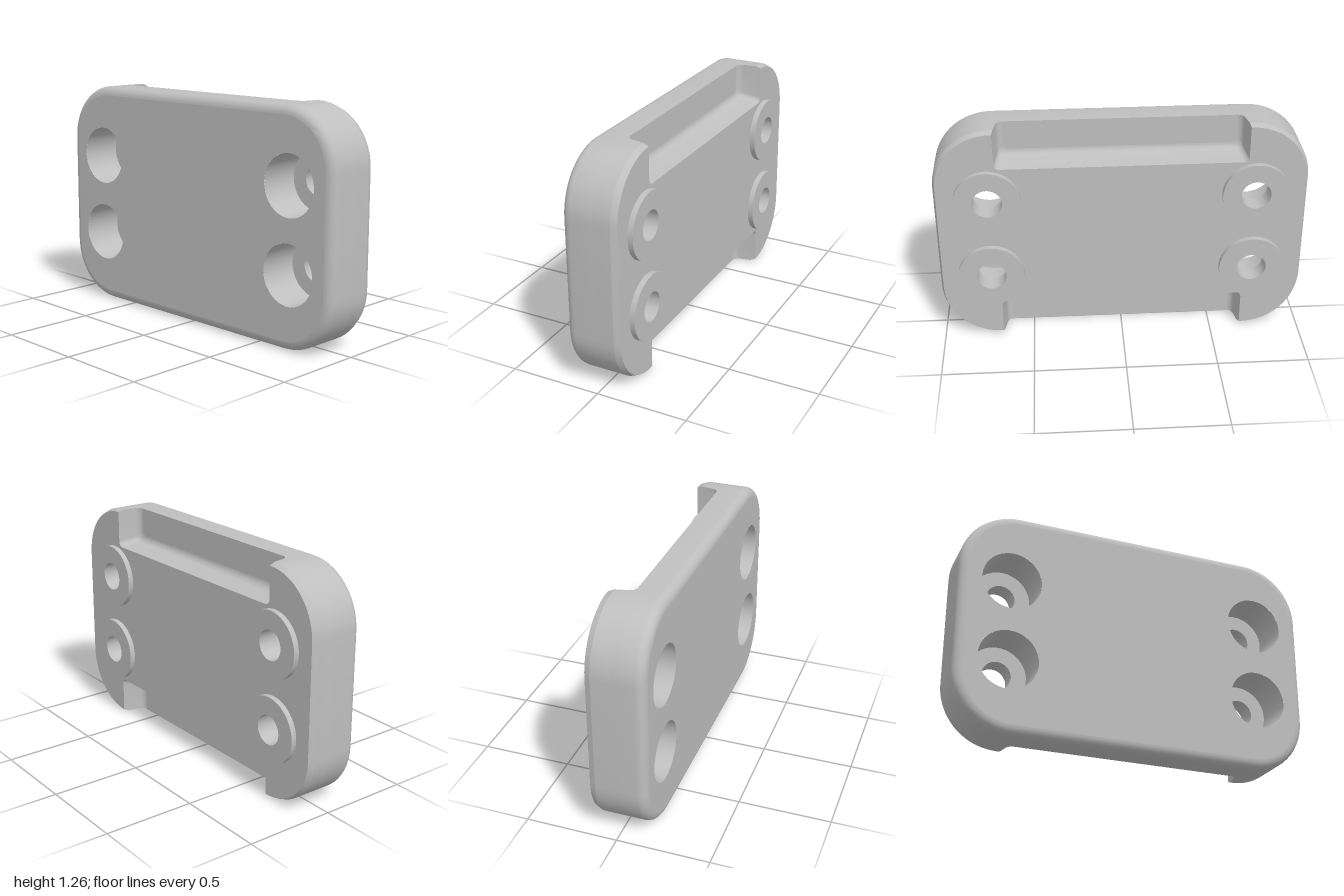
import * as THREE from 'three';
import { toCreasedNormals } from 'three/addons/utils/BufferGeometryUtils.js';

// Local frame: u across, v up, w through the plate (turned to face +x at the end)
const HALF_U = 1, HALF_V = 0.63, CORNER = 0.32;
const BACK = -0.167, FLOOR = 0.005, FRONT = 0.137, BOSS = 0.167;
const HOLE_U = 0.717, HOLE_V = 0.228;

function arc(cu, cv, r, a0, a1, n) {
  return Array.from({ length: n + 1 }, (_, i) => {
    const a = a0 + (a1 - a0) * i / n;
    return new THREE.Vector2(cu + r * Math.cos(a), cv + r * Math.sin(a));
  });
}

// Rounded rectangle, counter-clockwise, optionally notched at top and bottom
function outline(inset, notch) {
  const q = arc(HALF_U - CORNER, HALF_V - CORNER, CORNER - inset, 0, Math.PI / 2, 14);
  if (notch) {
    const r = 0.03;
    q.push(new THREE.Vector2(notch.u, HALF_V - inset));
    q.push(...arc(notch.u - r, notch.v + r, r, 0, -Math.PI / 2, 6));
  }
  const mirror = (su, sv) => q.map(p => new THREE.Vector2(p.x * su, p.y * sv));
  return [...q, ...mirror(-1, 1).reverse(), ...mirror(-1, -1), ...mirror(1, -1).reverse()];
}

// Side skin through a stack of outlines
function loft(rings) {
  const n = rings[0].pts.length, pos = [], idx = [];
  for (const { pts, w } of rings) for (const p of pts) pos.push(p.x, p.y, w);
  for (let i = 0; i < rings.length - 1; i++) {
    for (let j = 0; j < n; j++) {
      const a = i * n + j, b = i * n + (j + 1) % n;
      idx.push(a, b, b + n, a, b + n, a + n);
    }
  }
  const g = new THREE.BufferGeometry();
  g.setAttribute('position', new THREE.Float32BufferAttribute(pos, 3));
  g.setIndex(idx);
  return toCreasedNormals(g, 0.35);
}

const holeCentres = [];
for (const su of [-1, 1]) for (const sv of [-1, 1]) holeCentres.push([su * HOLE_U, sv * HOLE_V]);

// Flat face with the four screw holes
function cap(pts, holeRadius) {
  const s = new THREE.Shape(pts);
  for (const [u, v] of holeCentres) {
    s.holes.push(new THREE.Path().absarc(u, v, holeRadius, 0, Math.PI * 2, true));
  }
  return new THREE.ShapeGeometry(s, 48);
}

export function createModel() {
  const model = new THREE.Group();
  model.name = 'mountingPlate';
  const body = new THREE.Group();
  body.name = 'plateBody';
  body.rotation.y = Math.PI / 2;
  body.position.y = HALF_V;
  model.add(body);

  const grey = new THREE.MeshStandardMaterial({ color: 0xbfbfbf });
  grey.name = 'plain grey';
  const add = (name, geometry) => {
    const m = new THREE.Mesh(geometry, grey);
    m.name = name;
    body.add(m);
    return m;
  };

  // Back half with rounded rear edge
  const fillet = 0.05, backRings = [];
  for (let i = 0; i <= 6; i++) {
    const a = i / 6 * Math.PI / 2;
    backRings.push({ pts: outline(fillet * (1 - Math.sin(a))), w: BACK + fillet * (1 - Math.cos(a)) });
  }
  backRings.push({ pts: outline(0), w: FLOOR });
  add('backRim', loft(backRings));
  add('backFace', cap(outline(fillet), 0.163).rotateY(Math.PI).translate(0, 0, BACK));

  // Front half with drafted, filleted pocket walls and a chamfered front edge
  const ring = (w, inset, spread) => {
    const d = 0.025 * (w - FLOOR) / (FRONT - FLOOR) - spread;
    return { pts: outline(inset, { u: 0.647 + d, v: 0.44 - d }), w };
  };
  const r = 0.03, frontRings = [];
  for (let i = 0; i <= 6; i++) {
    const a = i / 6 * Math.PI / 2;
    frontRings.push(ring(FLOOR + r * (1 - Math.cos(a)), 0, r * (1 - Math.sin(a))));
  }
  frontRings.push(ring(0.105, 0, 0), ring(FRONT, 0.013, 0));
  add('frontRim', loft(frontRings));
  add('frontFace', cap(frontRings.at(-1).pts, 0.17).translate(0, 0, FRONT));

  // Pocket floors
  for (const s of [-1, 1]) {
    add(s > 0 ? 'topPocketFloor' : 'bottomPocketFloor', new THREE.PlaneGeometry(1.32, 0.2))
      .position.set(0, s * (HALF_V - 0.1), FLOOR);
  }

  // Raised bosses, each with a screw hole and a counterbore from behind
  const profile = [[0.18, FRONT], [0.18, BOSS], [0.08, BOSS], [0.08, 0.06], [0.163, 0.06], [0.163, BACK]]
    .map(([x, y]) => new THREE.Vector2(x, y));
  const bossGeo = toCreasedNormals(new THREE.LatheGeometry(profile, 48).rotateX(Math.PI / 2), 0.5);
  for (const [u, v] of holeCentres) add('screwBoss', bossGeo).position.set(u, v, 0);

  return model;
}
